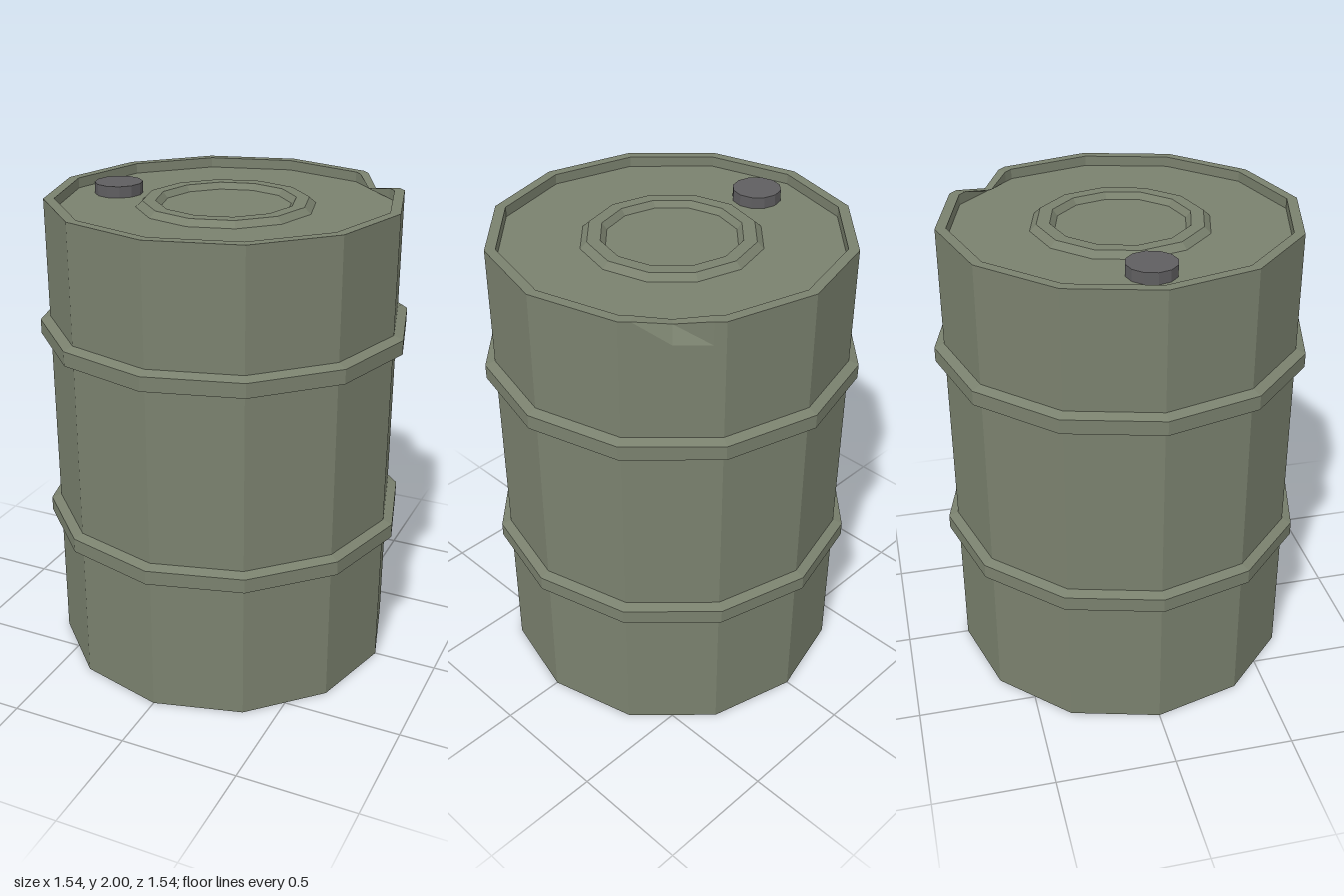
import * as THREE from 'three';

const SIDES = 12;
const STEP = (Math.PI * 2) / SIDES;
const WALL = 0.73, BAND = 0.77, INNER = 0.687;
const RIM_Y = 1.995, LID_Y = 1.953, SEAM_Y = 1.9;

// Gives every face its own normal for a faceted look.
function faceted(geometry) {
  const flat = geometry.toNonIndexed();
  flat.computeVertexNormals();
  return flat;
}

function lathe(profile, start = 0, segments = SIDES) {
  const points = profile.map(([r, y]) => new THREE.Vector2(r, y));
  return faceted(new THREE.LatheGeometry(points, segments, start, segments * STEP));
}

// Rolled band standing out from the wall, from its bottom edge upward.
function bandProfile(y) {
  return [[WALL, y], [BAND, y + 0.012], [BAND, y + 0.072], [WALL, y + 0.087]];
}

// Rim section: up the wall, over the lip, down to the lid.
const rimProfile = [[WALL, SEAM_Y], [WALL, RIM_Y], [INNER, RIM_Y], [INNER, LID_Y]];

// One side of the rim, pushed in and down at its middle.
function dentedRim(startAngle) {
  const stops = [0, 0.12, 0.5, 0.88, 1];
  const n = rimProfile.length;
  const positions = [], index = [];
  stops.forEach((t, i) => {
    rimProfile.forEach(([r, y], j) => {
      const at = (a) => new THREE.Vector3(r * Math.sin(a), y, r * Math.cos(a));
      const p = at(startAngle).lerp(at(startAngle + STEP), t);
      if (t === 0.5 && (j === 1 || j === 2)) {
        const push = j === 1 ? 0.95 : 0.96;
        p.x *= push;
        p.z *= push;
        p.y -= 0.03;
      }
      positions.push(p.x, p.y, p.z);
      if (i < stops.length - 1 && j < n - 1) {
        const a = i * n + j, b = a + n;
        index.push(a, b, a + 1, b + 1, a + 1, b);
      }
    });
  });
  const geometry = new THREE.BufferGeometry();
  geometry.setAttribute('position', new THREE.Float32BufferAttribute(positions, 3));
  geometry.setIndex(index);
  return faceted(geometry);
}

export function createModel() {
  const model = new THREE.Group();
  model.name = 'barrel';
  const paint = new THREE.MeshStandardMaterial({ color: 0x7a816e });
  paint.name = 'olivePaint';
  const steel = new THREE.MeshStandardMaterial({ color: 0x5f5e60 });
  steel.name = 'darkSteel';

  function add(name, geometry, material) {
    const mesh = new THREE.Mesh(geometry, material);
    mesh.name = name;
    model.add(mesh);
    return mesh;
  }

  // Wall with its base and two bands
  add('wall', lathe([
    [0, 0], [WALL, 0], ...bandProfile(0.59), ...bandProfile(1.418), [WALL, SEAM_Y],
  ]), paint);

  // Rim: eleven straight sides and one dented side at the back left
  const dentStart = 4 * STEP;
  add('rim', lathe(rimProfile, dentStart + STEP, SIDES - 1), paint);
  add('dentedRim', dentedRim(dentStart), paint);

  // Recessed lid with a raised ring
  const ringY = LID_Y + 0.025;
  add('lid', lathe([
    [INNER, LID_Y], [0.365, LID_Y], [0.338, ringY], [0.285, ringY], [0.265, LID_Y], [0, LID_Y],
  ]), paint);

  // Filler cap
  const capHeight = 2 - LID_Y;
  const cap = add('fillerCap', faceted(new THREE.CylinderGeometry(0.1, 0.1, capHeight, SIDES)), steel);
  cap.position.set(-0.493, LID_Y + capHeight / 2, 0);

  return model;
}
